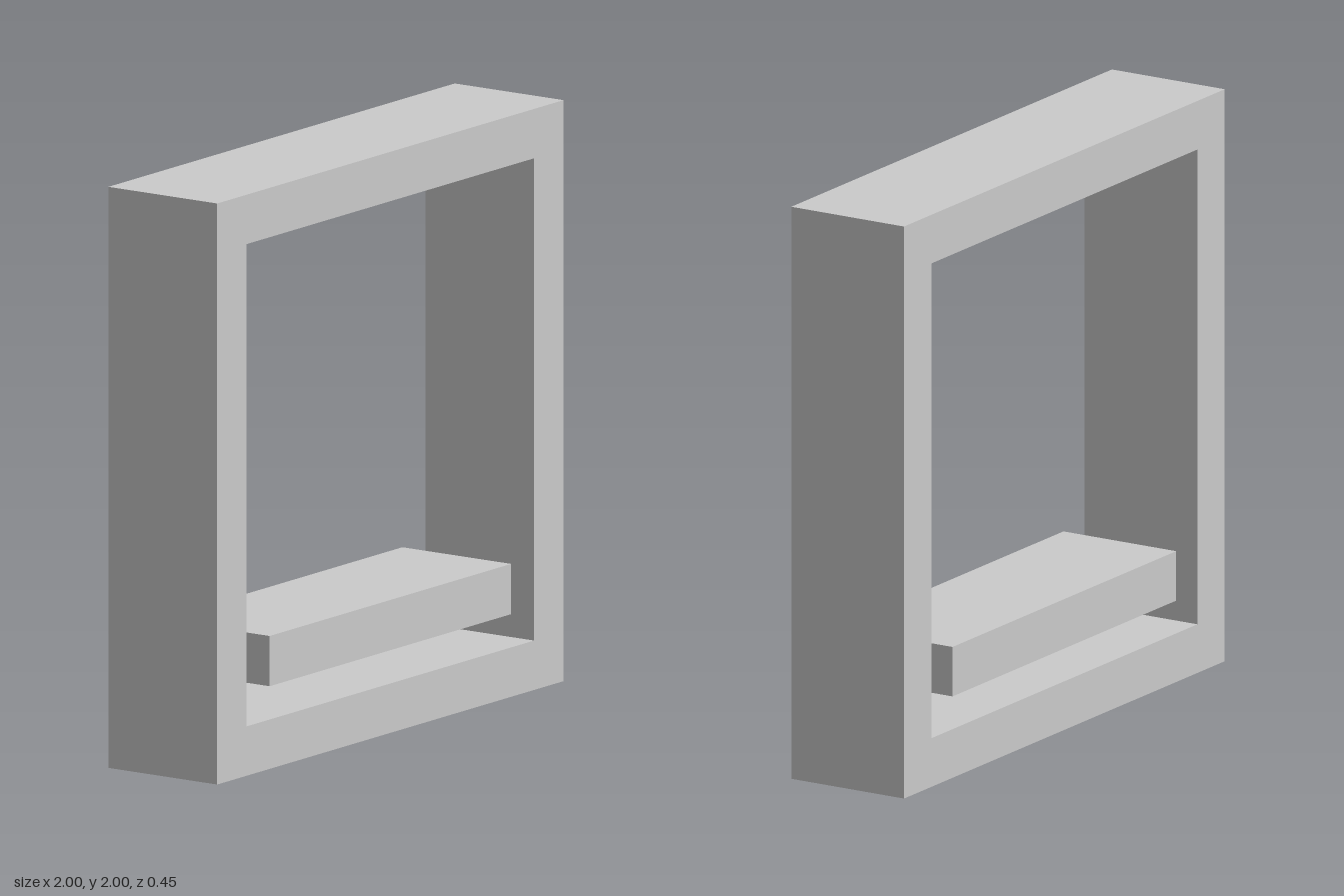
import * as THREE from 'three';

const DEPTH = 0.45;

// Closed rectangular outline, counter-clockwise
function rectangle(target, x, y0, y1) {
  target.moveTo(-x, y0);
  target.lineTo(x, y0);
  target.lineTo(x, y1);
  target.lineTo(-x, y1);
  target.closePath();
  return target;
}

export function createModel() {
  const group = new THREE.Group();
  const material = new THREE.MeshStandardMaterial({ color: 0xcccccc, flatShading: true });

  // Square outer frame with a square opening
  const outline = rectangle(new THREE.Shape(), 1, 0, 2);
  outline.holes.push(rectangle(new THREE.Path(), 0.83, 0.17, 1.83));
  const frameGeometry = new THREE.ExtrudeGeometry(outline, { depth: DEPTH, bevelEnabled: false });
  frameGeometry.translate(0, 0, -DEPTH / 2);
  const frame = new THREE.Mesh(frameGeometry, material);
  frame.name = 'frame';
  group.add(frame);

  // Bar floating above the bottom rail, flush with the frame front and back
  const bar = new THREE.Mesh(new THREE.BoxGeometry(1.395, 0.173, DEPTH), material);
  bar.name = 'bar';
  bar.position.y = 0.371;
  group.add(bar);

  return group;
}
